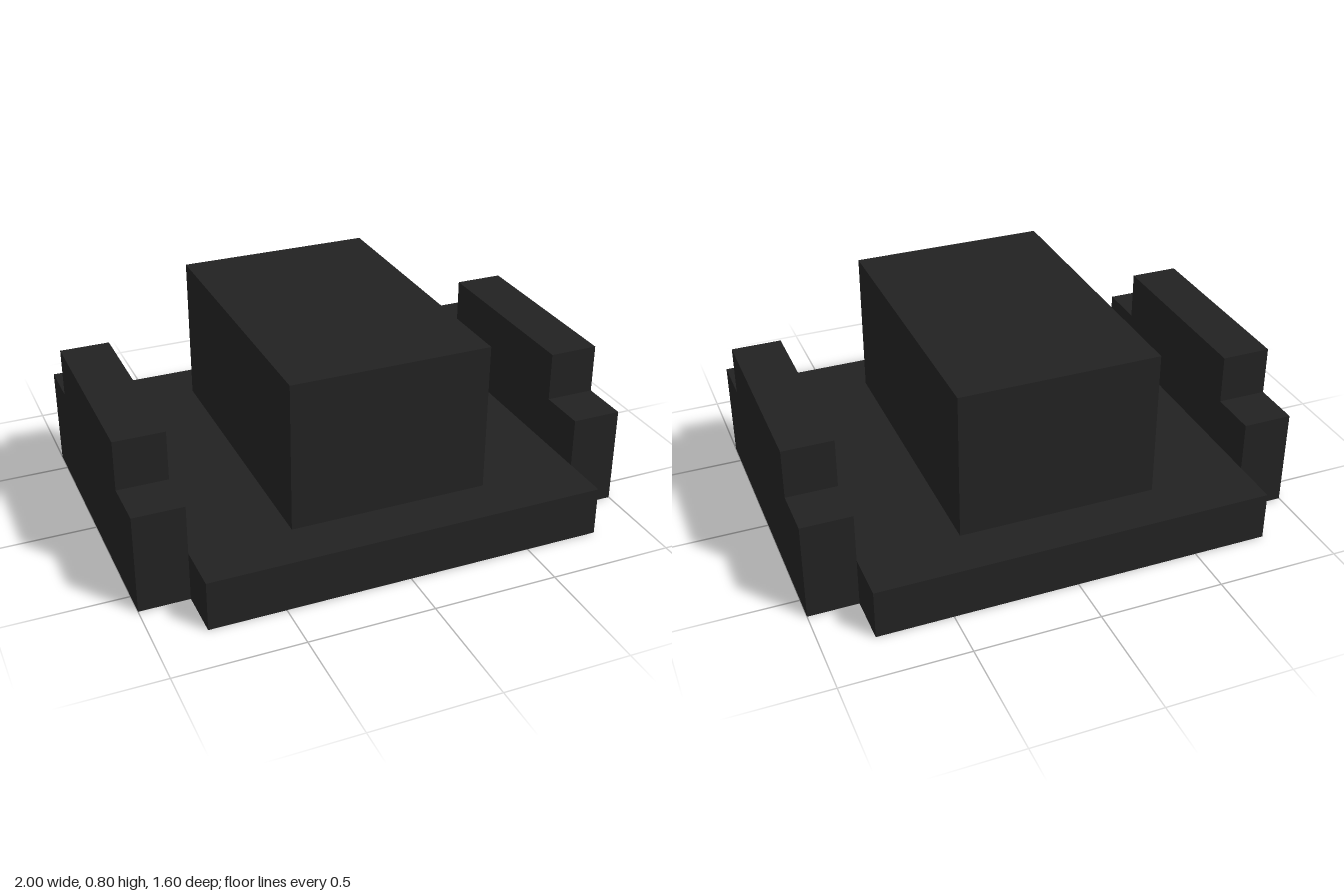
import * as THREE from 'three';

export function createModel() {
  const model = new THREE.Group();
  const black = new THREE.MeshStandardMaterial({ color: 0x222222 });
  black.name = 'charcoal black';

  // Box resting at height y
  const box = (name, w, h, d, y) => {
    const mesh = new THREE.Mesh(new THREE.BoxGeometry(w, h, d), black);
    mesh.name = name;
    mesh.position.y = y + h / 2;
    model.add(mesh);
  };

  // Flat base and raised central block
  box('basePlate', 1.6, 0.2, 1.6, 0);
  box('centreBlock', 0.8, 0.6, 1.2, 0.2);

  // Stepped side walls, profile drawn in z and y, extruded across x
  const profile = new THREE.Shape([
    [-0.6, 0], [0.6, 0], [0.6, 0.4], [0.4, 0.4],
    [0.4, 0.6], [-0.4, 0.6], [-0.4, 0.4], [-0.6, 0.4],
  ].map(([z, y]) => new THREE.Vector2(z, y)));
  const wallGeometry = new THREE.ExtrudeGeometry(profile, { depth: 0.2, bevelEnabled: false });
  wallGeometry.translate(0, 0, -0.1).rotateY(Math.PI / 2);
  for (const side of [-1, 1]) {
    const wall = new THREE.Mesh(wallGeometry, black);
    wall.name = side > 0 ? 'leftSideWall' : 'rightSideWall';
    wall.position.x = side * 0.9;
    model.add(wall);
  }
  return model;
}
